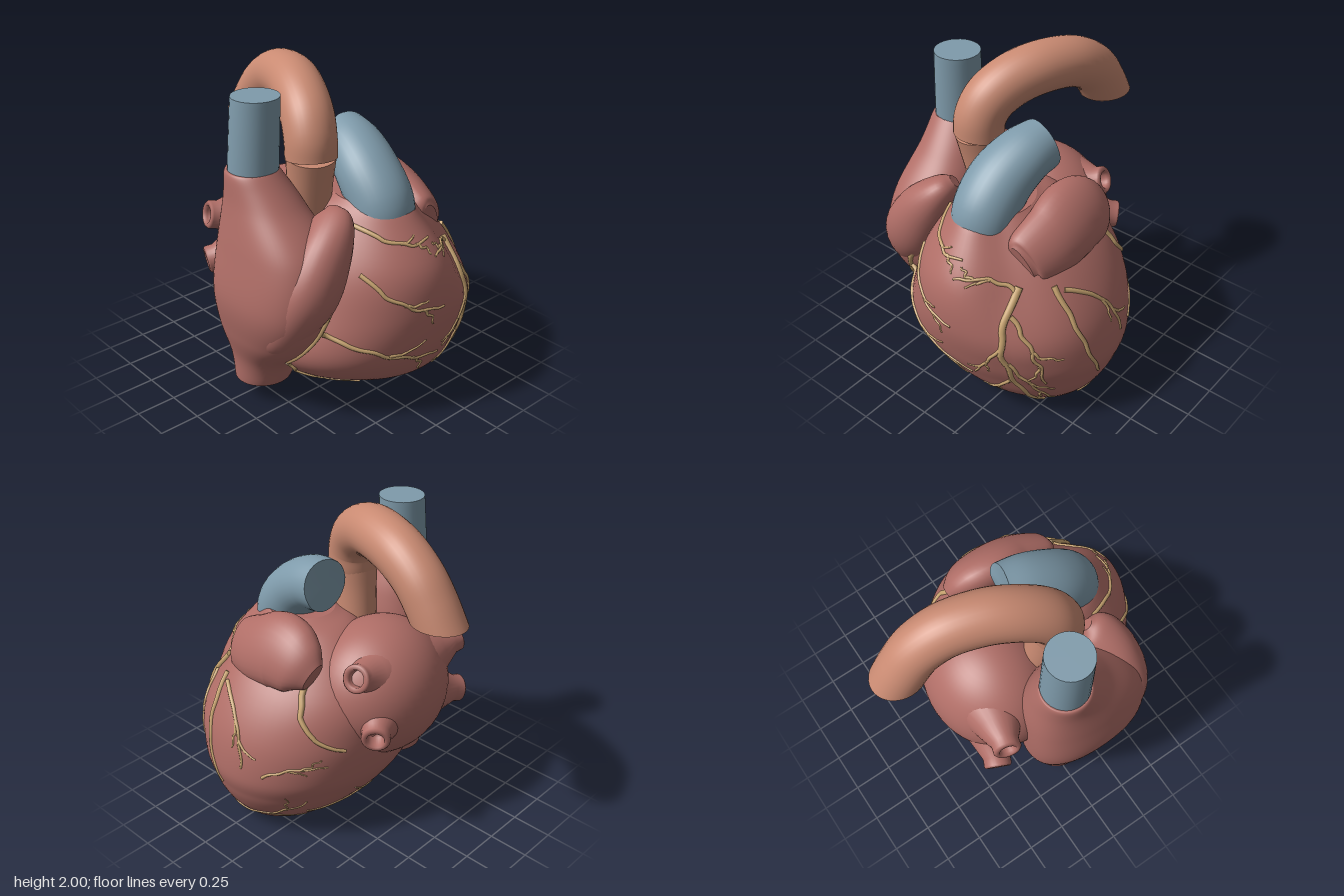
import * as THREE from 'three';

const V = (x, y, z) => new THREE.Vector3(x, y, z);
const spline = pts => new THREE.CatmullRomCurve3(pts, false, 'catmullrom', 0.5);

// Skin a list of rings with smooth normals; flat caps use their own vertices
function skin(rings) {
  const n = rings[0].length, pos = [], idx = [];
  rings.forEach(r => r.forEach(p => pos.push(p.x, p.y, p.z)));
  for (let i = 0; i < rings.length - 1; i++)
    for (let j = 0; j < n; j++) {
      const a = i * n + j, b = i * n + (j + 1) % n;
      idx.push(a, a + n, b, b, a + n, b + n);
    }
  [rings[0], rings[rings.length - 1]].forEach((r, end) => {
    const base = pos.length / 3, c = V(0, 0, 0);
    r.forEach(p => { pos.push(p.x, p.y, p.z); c.addScaledVector(p, 1 / n); });
    pos.push(c.x, c.y, c.z);
    for (let j = 0; j < n; j++) {
      const k = base + (j + 1) % n;
      if (end) idx.push(base + n, k, base + j);
      else idx.push(base + n, base + j, k);
    }
  });
  const g = new THREE.BufferGeometry();
  g.setAttribute('position', new THREE.Float32BufferAttribute(pos, 3));
  g.setIndex(idx);
  g.computeVertexNormals();
  return g;
}

// Elliptical sweep; stations are [x, y, z, radius along ref, radius across]
function sweep(stations, ref, steps = 32, sides = 28, trim = null) {
  const path = spline(stations.map(s => V(s[0], s[1], s[2])));
  const size = spline(stations.map(s => V(s[3], s[4] ?? s[3], 0)));
  const rings = [];
  for (let i = 0; i <= steps; i++) {
    const p = path.getPoint(i / steps), t = path.getTangent(i / steps), r = size.getPoint(i / steps);
    const u = ref.clone().addScaledVector(t, -ref.dot(t)).normalize(), v = u.clone().cross(t);
    rings.push(Array.from({ length: sides }, (_, j) => {
      const a = j / sides * Math.PI * 2;
      const q = p.clone().addScaledVector(u, r.x * Math.cos(a)).addScaledVector(v, r.y * Math.sin(a));
      if (trim) trim(q, t);
      return q;
    }));
  }
  return skin(rings);
}

// A chamber from rows [y, xmin, xmax, zmin, zmax]; shape(angle, y) swells or dents it
function chamber(rows, shape, steps = 64) {
  const xs = spline(rows.map(r => V(r[1], r[0], r[2]))), zs = spline(rows.map(r => V(r[3], r[0], r[4])));
  const secs = Array.from({ length: steps + 1 }, (_, i) => {
    const a = xs.getPoint(i / steps), b = zs.getPoint(i / steps);
    return { y: a.y, cx: (a.x + a.z) / 2, hx: (a.z - a.x) / 2, cz: (b.x + b.z) / 2, hz: (b.z - b.x) / 2 };
  });
  const ring = (s, y, sides) => Array.from({ length: sides }, (_, j) => {
    const a = j / sides * Math.PI * 2, k = shape(a, y);
    return V(s.cx + s.hx * k * Math.cos(a), y, s.cz + s.hz * k * Math.sin(a));
  });
  const outlineAt = y => {
    const i = Math.max(1, secs.findIndex(s => s.y >= y)), a = secs[i - 1], b = secs[i];
    const s = {}, f = (y - a.y) / (b.y - a.y);
    for (const k of ['cx', 'hx', 'cz', 'hz']) s[k] = a[k] + (b[k] - a[k]) * f;
    return ring(s, y, 1000);
  };
  return { geometry: skin(secs.map(s => ring(s, s.y, 72))), outlineAt };
}

// Ventricles fall away at the left front shoulder, with a shallow groove below it
const ventricles = chamber([
  [0.003, 0.35, 0.46, 0.16, 0.3], [0.05, 0.05, 0.62, -0.04, 0.52], [0.12, -0.2, 0.69, -0.16, 0.64],
  [0.2, -0.38, 0.74, -0.25, 0.72], [0.3, -0.54, 0.78, -0.33, 0.78], [0.45, -0.6, 0.81, -0.4, 0.84],
  [0.7, -0.5, 0.76, -0.42, 0.885], [0.95, -0.39, 0.61, -0.36, 0.85],
  [1.2, -0.22, 0.36, -0.1, 0.67], [1.28, -0.14, 0.26, 0.1, 0.58]],
(a, y) => 1 - 0.15 * Math.exp(-(((a - 0.85) / 0.4) ** 2)) * THREE.MathUtils.smoothstep(y, 0.55, 1)
  - 0.012 * Math.exp(-(((a - 1.05) / 0.1) ** 2)) * Math.sin(Math.PI * Math.min(1, y)));

// Right atrium running from the lower to the upper vena cava, squarer at mid height
const rightAtrium = chamber([
  [0.13, -0.69, -0.34, -0.14, 0.2], [0.3, -0.71, -0.31, -0.17, 0.29], [0.5, -0.77, -0.3, -0.22, 0.48],
  [0.75, -0.81, -0.27, -0.23, 0.58], [1.05, -0.77, -0.25, -0.22, 0.54], [1.3, -0.72, -0.31, -0.18, 0.32],
  [1.46, -0.7, -0.38, -0.15, 0.18], [1.48, -0.67, -0.4, -0.13, 0.16]],
(a, y) => 1 + 0.07 * Math.sin(2 * a) ** 2 * Math.max(0, Math.sin((y - 0.2) * 2.6)));

// Flat coordinate, depth towards the viewer and bodies to lie on, for each side
const sides = {
  front: { flat: 'x', depth: p => p.z, on: [ventricles, rightAtrium], ref: V(0, 0.1, 1) },
  left: { flat: 'z', depth: p => p.x, on: [ventricles], ref: V(1, 0.1, 0) },
  back: { flat: 'x', depth: p => -p.z, on: [ventricles], ref: V(0, 0.1, 1) },
};
// Lay a flat point on the muscle
function project({ flat, depth, on }, f, height) {
  const y = THREE.MathUtils.clamp(height, 0.06, 1.25);
  const score = p => depth(p) - 40 * Math.abs(p[flat] - f);
  return on.flatMap(b => b.outlineAt(y)).reduce((best, p) => score(p) > score(best) ? p : best);
}

// Coronary vessels: start radius, flat start, flat end, bend
const vessels = {
  front: [
    [0.025, -0.2, 1.22, -0.6, 0.38, -0.06], [0.015, -0.59, 0.38, -0.2, 0.19, -0.25], [0.014, -0.2, 1.18, 0.14, 1.1, -0.25],
    [0.014, -0.28, 0.95, 0.15, 0.71, -0.3], [0.015, -0.5, 0.62, 0.22, 0.33, -0.1], [0.024, 0.42, 0.96, 0.53, 0.08, -0.05],
    [0.014, 0.42, 0.93, 0.12, 1, -0.3], [0.013, 0.44, 0.64, 0.25, 0.36, 0], [0.013, 0.45, 0.35, 0.26, 0.18, 0.1],
    [0.015, 0.44, 0.82, 0.62, 0.34, 0.25], [0.013, 0.47, 0.52, 0.6, 0.12, 0.1]],
  left: [
    [0.018, 0.46, 0.95, 0.3, 0.32, 0.15], [0.015, 0.42, 0.92, 0.11, 0.52, -0.3], [0.021, -0.08, 1.06, -0.36, 0.68, 0.2],
    [0.01, -0.02, 0.5, -0.32, 0.58, -0.2], [0.01, 0.34, 0.1, -0.2, 0.3, 0.2]],
  back: [[0.014, -0.35, 0.34, 0.5, 0.17, -0.1], [0.012, -0.45, 0.32, 0.2, 0.08, -0.2]],
};

export function createModel() {
  const heart = new THREE.Group();
  heart.name = 'heart';
  const mat = (name, color) => Object.assign(new THREE.MeshStandardMaterial({ color }), { name });
  const muscle = mat('muscle red', 0xb06e67), artery = mat('artery orange', 0xc98a72);
  const vein = mat('vein blue', 0x7f9bab), coronary = mat('coronary tan', 0xcaa672);
  const add = (name, geo, m, parent = heart) => {
    const mesh = new THREE.Mesh(geo, m);
    mesh.name = name;
    parent.add(mesh);
    return mesh;
  };

  add('ventricles', ventricles.geometry, muscle);
  add('rightAtrium', rightAtrium.geometry, muscle);

  // Right auricle, a broad flap along the groove
  add('rightAuricle', sweep([[-0.25, 1.27, 0.38, 0.04], [-0.3, 1.21, 0.42, 0.13, 0.1], [-0.42, 1.05, 0.48, 0.15, 0.16],
    [-0.54, 0.83, 0.48, 0.15, 0.18], [-0.64, 0.6, 0.36, 0.12, 0.12], [-0.66, 0.46, 0.26, 0.05]], V(0, 0, 1)), muscle);

  // Left atrium and its four hollow pulmonary veins
  const leftAtrium = add('leftAtrium', new THREE.SphereGeometry(1, 48, 32), muscle);
  leftAtrium.scale.set(0.46, 0.43, 0.4);
  leftAtrium.position.set(-0.08, 0.86, -0.2);
  const mouths = [[0.31, 1.13, -0.36], [0.31, 0.78, -0.52], [-0.58, 1.06, -0.4], [-0.56, 0.72, -0.46]];
  mouths.forEach(([x, y, z], i) => {
    const from = V(i < 2 ? 0 : -0.18, 0.88 + (y - 0.88) * 0.5, -0.29), dir = V(x, y, z).sub(from), L = dir.length();
    const prof = [[0.26, 0], [0.21, 0.3 * L], [0.14, 0.6 * L], [0.085, L - 0.06], [0.086, L - 0.012], [0.076, L],
      [0.054, L], [0.05, L - 0.02], [0.045, L - 0.08], [0, L - 0.08]];
    const m = add('pulmonaryVein', new THREE.LatheGeometry(prof.map(p => new THREE.Vector2(...p)), 28), muscle);
    m.position.copy(from);
    m.quaternion.setFromUnitVectors(V(0, 1, 0), dir.normalize());
  });

  // Left auricle, a flat lobe draped over the shoulder
  add('leftAuricle', sweep([[0.39, 1.06, 0.53, 0.12, 0.05], [0.39, 1.07, 0.48, 0.17, 0.1], [0.42, 1.12, 0.3, 0.21, 0.13],
    [0.42, 1.17, 0.12, 0.23, 0.135], [0.44, 1.15, -0.04, 0.19, 0.11], [0.44, 1.11, -0.15, 0.09, 0.05]],
  V(-0.5, 0.86, 0)), muscle);

  // Upper vena cava
  add('superiorVenaCava', sweep([[-0.537, 1.42, 0.012, 0.147], [-0.527, 1.66, 0.02, 0.144], [-0.517, 1.9, 0.028, 0.139]],
    V(1, 0, 0), 16, 32, q => { if (q.y > 1.88) q.y = 1.9; }), vein);

  // Pulmonary trunk, cut square at the back
  add('pulmonaryTrunk', sweep([[0.05, 1.1, 0.46, 0.19], [0.05, 1.24, 0.44, 0.195], [0.06, 1.38, 0.33, 0.195, 0.18],
    [0.095, 1.48, 0.18, 0.18, 0.165], [0.13, 1.515, 0.03, 0.155, 0.16]], V(1, 0, 0), 32, 32, (q, t) => {
    if (q.z < 0.05) q.addScaledVector(t, (0.05 - q.z) / t.z);
  }), vein);

  // Aorta: root, then arch with a level cut at its end
  add('aortaRoot', sweep([[-0.2, 1.1, 0.1, 0.125], [-0.225, 1.35, 0.14, 0.135], [-0.237, 1.52, 0.165, 0.147]], V(1, 0, 0)), artery);
  add('aorticArch', sweep([[-0.238, 1.505, 0.168, 0.152], [-0.232, 1.62, 0.155, 0.153], [-0.2, 1.73, 0.09, 0.155],
    [-0.14, 1.81, -0.04, 0.156], [-0.07, 1.843, -0.2, 0.156], [-0.005, 1.82, -0.4, 0.153], [0.025, 1.73, -0.56, 0.15],
    [0.03, 1.6, -0.665, 0.15], [0.03, 1.42, -0.77, 0.15]], V(1, 0, 0.25), 56, 32, (q, t) => {
    if (q.z < -0.4 && q.y < 1.515) q.addScaledVector(t, (1.515 - q.y) / t.y);
  }), artery);

  // Coronary vessels, tapered and slightly wavy, the finer ones forking into twigs
  const tree = new THREE.Group();
  tree.name = 'coronaryVessels';
  heart.add(tree);
  const grow = (side, [r, x0, y0, x1, y1, bend], twigs) => {
    const start = new THREE.Vector2(x0, y0), end = new THREE.Vector2(x1, y1), d = end.clone().sub(start);
    const control = start.clone().lerp(end, 0.5).add(new THREE.Vector2(-d.y, d.x).multiplyScalar(bend));
    const flat = new THREE.QuadraticBezierCurve(start, control, end), N = Math.ceil(6 + d.length() * 12);
    const stations = Array.from({ length: N + 1 }, (_, i) => {
      const f = i / N, p = flat.getPoint(f), w = 0.007 * Math.sin(i * 1.5) * Math.min(1, 4 * f);
      const q = project(side, p.x + w, p.y + w * 0.7);
      return [q.x, q.y, q.z, r * (1 - 0.5 * f)];
    });
    add('coronaryVessel', sweep(stations, side.ref, 36, 8), coronary, tree);
    if (twigs) [0.45, 0.68].forEach((f, i) => {
      const p = flat.getPoint(f), turn = i ? -0.6 : 0.6;
      const tip = flat.getTangent(f).rotateAround(new THREE.Vector2(), turn).multiplyScalar(0.3 * d.length()).add(p);
      grow(side, [r * 0.7, p.x, p.y, tip.x, tip.y, -turn * 0.3], false);
    });
  };
  Object.entries(vessels).forEach(([name, list]) => list.forEach(v => grow(sides[name], v, v[0] < 0.017)));
  return heart;
}
